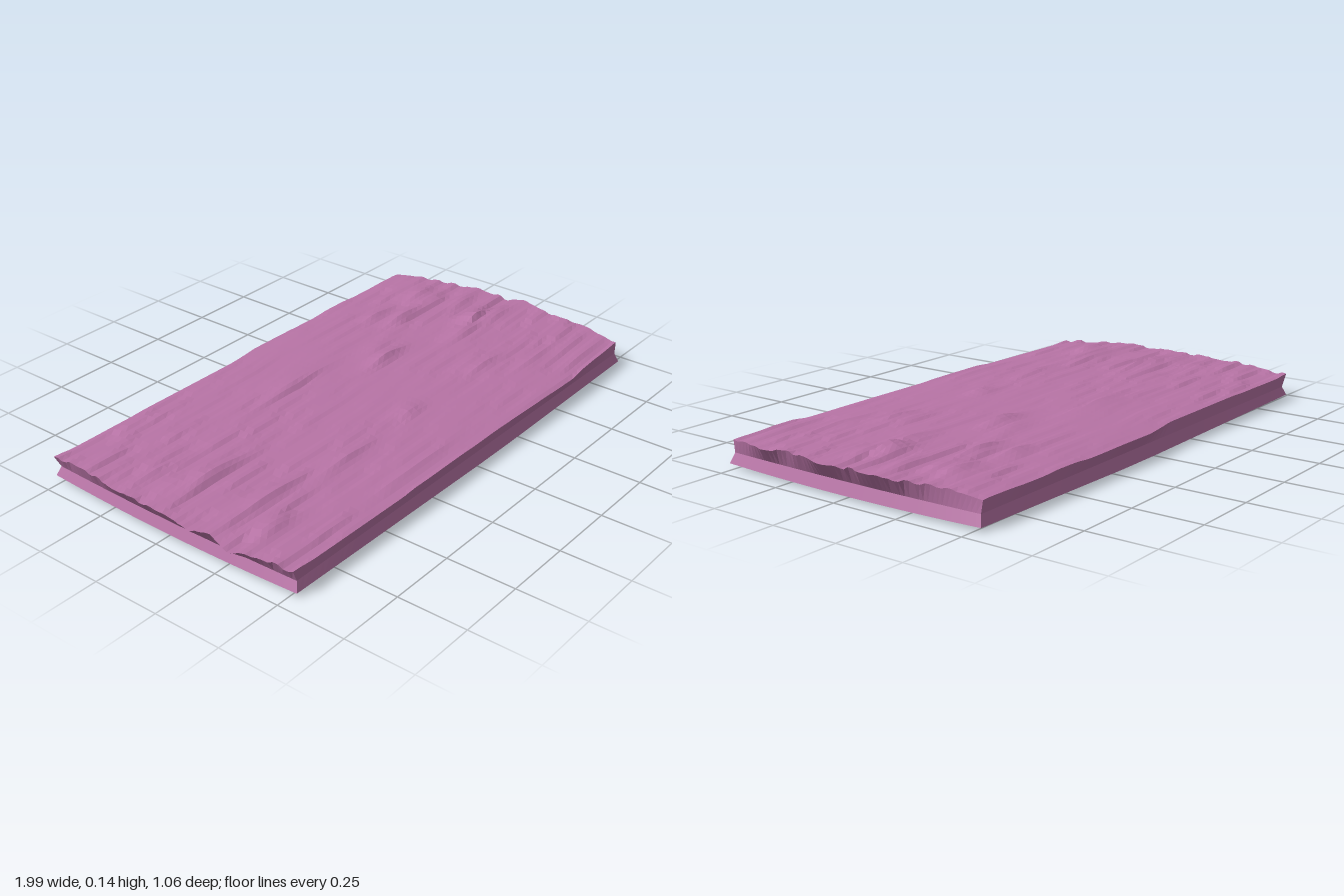
import * as THREE from 'three';

const COLS = 60, ROWS = 58;

// Piecewise linear lookup through [position, value] pairs
function sample(table, t) {
  if (t <= table[0][0]) return table[0][1];
  for (let i = 1; i < table.length; i++) {
    const [a, va] = table[i - 1], [b, vb] = table[i];
    if (t <= b) return va + (vb - va) * (t - a) / (b - a);
  }
  return table[table.length - 1][1];
}

// Ragged ends (x by z) and nearly straight long edges (z by x)
const leftEnd = [[-0.52, -0.95], [-0.45, -0.945], [-0.2, -0.975], [0, -0.98], [0.15, -0.99],
  [0.22, -0.975], [0.3, -1], [0.4, -0.96], [0.52, -0.945]];
const rightEnd = [[-0.52, 0.92], [-0.35, 0.94], [-0.15, 0.98], [0, 0.97], [0.06, 1],
  [0.15, 0.97], [0.25, 0.955], [0.35, 0.97], [0.45, 0.94], [0.52, 0.93]];
const backEdge = [[-0.95, -0.515], [-0.1, -0.512], [0.05, -0.53], [0.6, -0.522], [0.95, -0.515]];
const frontEdge = [[-0.95, 0.515], [-0.3, 0.525], [0.1, 0.522], [0.6, 0.53], [0.95, 0.51]];
const crown = [[-0.53, 0.09], [-0.45, 0.1], [-0.3, 0.108], [0.2, 0.109], [0.4, 0.102], [0.53, 0.092]];

// Splintered ridges: x, z, length, back slope width, height
const ridges = [
  [-0.72, -0.01, 0.13, 0.1, 0.022], [-0.82, 0.34, 0.07, 0.08, 0.014], [-0.83, -0.07, 0.09, 0.06, 0.010],
  [-0.72, 0.22, 0.14, 0.07, 0.016], [-0.8, -0.17, 0.1, 0.05, 0.009], [-0.12, -0.2, 0.18, 0.1, 0.018],
  [0.0, 0.24, 0.06, 0.07, 0.012], [-0.4, 0.26, 0.13, 0.07, 0.011], [-0.25, 0.45, 0.2, 0.05, 0.008],
  [0.27, -0.07, 0.09, 0.08, 0.022], [0.32, -0.15, 0.1, 0.06, 0.012], [0.43, 0.24, 0.09, 0.09, 0.014],
  [0.52, -0.32, 0.08, 0.06, 0.016], [0.58, -0.23, 0.1, 0.06, 0.017], [0.79, -0.31, 0.08, 0.06, 0.015],
  [0.78, -0.25, 0.08, 0.06, 0.012], [0.74, 0.0, 0.07, 0.08, 0.032], [0.63, 0.03, 0.09, 0.07, 0.014],
  [0.8, 0.05, 0.09, 0.06, 0.012], [0.83, -0.13, 0.09, 0.06, 0.012], [0.62, 0.34, 0.12, 0.08, 0.009],
  [0.72, 0.47, 0.15, 0.05, 0.008],
];

function hash(a, b) {
  const s = Math.sin(a * 127.1 + b * 311.7) * 43758.5453;
  return s - Math.floor(s);
}

// Streaky grain running along x, rougher towards the ends
function grain(x, row) {
  const strip = Math.floor(row / 2);
  const t = x * 6 + hash(strip, 9) * 4 + 20, cell = Math.floor(t);
  const f = THREE.MathUtils.smoothstep(t - cell, 0.25, 0.75);
  const n = hash(cell, strip) * (1 - f) + hash(cell + 1, strip) * f;
  return (n - 0.5) * 0.013 * Math.min(1, 0.1 + Math.abs(x - 0.1) * 1.1);
}

function topHeight(x, z, row) {
  let bump = 0;
  for (const [rx, rz, len, width, h] of ridges) {
    const d = z - rz;
    const slope = Math.max(0, d > 0 ? 1 - d / 0.025 : 1 + d / width);
    bump = Math.max(bump, h * slope * Math.exp(-(((x - rx) / len) ** 2)));
  }
  return sample(crown, z) + bump + grain(x, row);
}

function topPoint(i, j) {
  const u = i / COLS, z0 = -0.52 + 1.04 * j / ROWS;
  const x = THREE.MathUtils.lerp(sample(leftEnd, z0), sample(rightEnd, z0), u);
  const z = THREE.MathUtils.lerp(sample(backEdge, x), sample(frontEdge, x), j / ROWS);
  return [x, topHeight(x, z, j), z];
}

// Rectangular ring below the rim, with a slight outward bow on the ends
function ringPoint(i, j, halfX, halfZ, bow, y) {
  const u = 2 * i / COLS - 1, v = 2 * j / ROWS - 1;
  const x = u * (halfX + bow * (1 - v * v)), z = v * halfZ;
  return [x, y(x, z), z];
}

function makeMesh(name, points, index, material) {
  const g = new THREE.BufferGeometry();
  g.setAttribute('position', new THREE.Float32BufferAttribute(points.flat(), 3));
  g.setIndex(index);
  g.computeVertexNormals();
  const mesh = new THREE.Mesh(g, material);
  mesh.name = name;
  return mesh;
}

export function createModel() {
  const group = new THREE.Group();
  group.name = 'roughPlank';
  const material = new THREE.MeshStandardMaterial({ color: 0xb874a6, flatShading: true });

  // Grained upper surface
  const top = [], topIndex = [];
  for (let j = 0; j <= ROWS; j++) {
    for (let i = 0; i <= COLS; i++) {
      top.push(topPoint(i, j));
      if (i === COLS || j === ROWS) continue;
      const a = j * (COLS + 1) + i, c = a + COLS + 1;
      topIndex.push(a, c, a + 1, a + 1, c, c + 1);
    }
  }
  group.add(makeMesh('grainedTop', top, topIndex, material));

  // Walk round the rim: front, right end, back, left end
  const rim = [];
  for (let i = 0; i < COLS; i++) rim.push([i, ROWS]);
  for (let j = ROWS; j > 0; j--) rim.push([COLS, j]);
  for (let i = COLS; i > 0; i--) rim.push([i, 0]);
  for (let j = 0; j < ROWS; j++) rim.push([0, j]);

  // Sides pinch in at mid height, then flare out to the base
  const baseY = (x, z) => 0.003 + 0.009 * Math.abs(x - 0.2) / 1.15 + 0.006 * (z / 0.52) ** 2 * Math.abs(x);
  const upper = rim.map(([i, j]) => topPoint(i, j));
  const middle = rim.map(([i, j]) => ringPoint(i, j, 0.925, 0.512, 0.01, () => 0.05));
  const base = rim.map(([i, j]) => ringPoint(i, j, 0.94, 0.524, 0.01, baseY));
  const n = rim.length, sideIndex = [];
  for (let r = 0; r < 2; r++) {
    for (let k = 0; k < n; k++) {
      const a = r * n + k, b = r * n + (k + 1) % n;
      sideIndex.push(a, a + n, b, b, a + n, b + n);
    }
  }
  group.add(makeMesh('roughSides', [...upper, ...middle, ...base], sideIndex, material));

  // Shallow underside meeting at a low point
  const underIndex = [];
  for (let k = 0; k < n; k++) underIndex.push(n, (k + 1) % n, k);
  group.add(makeMesh('underside', [...base, [0.2, 0, -0.15]], underIndex, material));

  return group;
}
